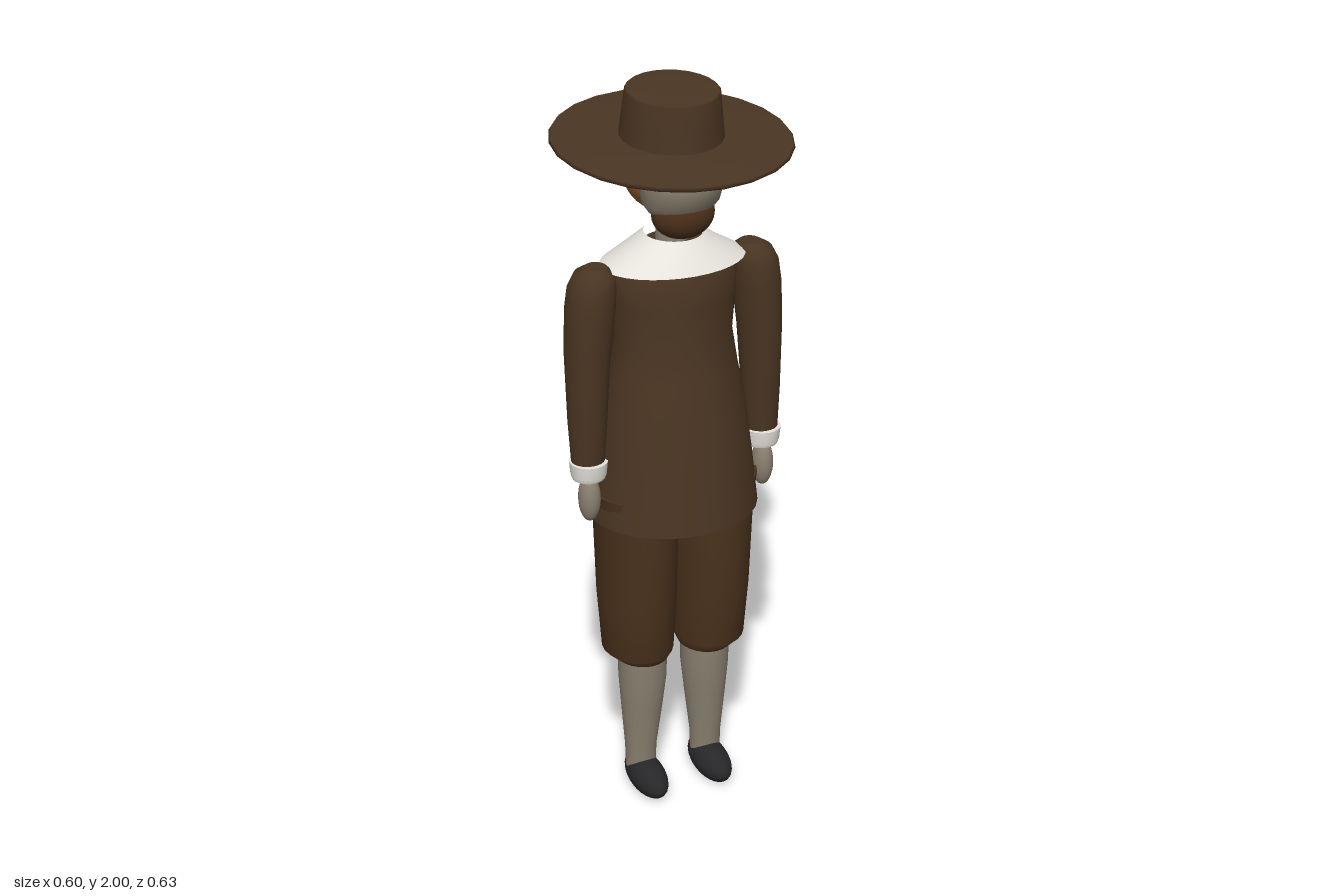
import * as THREE from 'three';

const mat = (name, hex, side = THREE.FrontSide) => {
  const m = new THREE.MeshStandardMaterial({ color: hex, side });
  m.name = name;
  return m;
};

// Smooth body through elliptical rings [y, centreX, centreZ, radiusX, radiusZ], listed upwards
function loft(rings, capped = true, n = 24) {
  const pos = [], idx = [];
  const addRing = ([y, cx, cz, rx, rz]) => {
    const start = pos.length / 3;
    for (let j = 0; j < n; j++) {
      const a = (j / n) * Math.PI * 2;
      pos.push(cx + rx * Math.sin(a), y, cz + rz * Math.cos(a));
    }
    return start;
  };
  const starts = rings.map(addRing);
  for (let i = 0; i < rings.length - 1; i++) {
    for (let j = 0; j < n; j++) {
      const k = (j + 1) % n, a = starts[i], b = starts[i + 1];
      idx.push(a + j, a + k, b + k, a + j, b + k, b + j);
    }
  }
  if (capped) {
    [rings[0], rings[rings.length - 1]].forEach((r, top) => {
      const s = addRing(r), c = pos.length / 3;
      pos.push(r[1], r[0], r[2]);
      for (let j = 0; j < n; j++) {
        const k = (j + 1) % n;
        if (top) idx.push(c, s + j, s + k);
        else idx.push(c, s + k, s + j);
      }
    });
  }
  const g = new THREE.BufferGeometry();
  g.setAttribute('position', new THREE.Float32BufferAttribute(pos, 3));
  g.setIndex(idx);
  g.computeVertexNormals();
  return g;
}

const ellipsoid = (x, y, z, rx, ry, rz) =>
  new THREE.SphereGeometry(1, 24, 16).scale(rx, ry, rz).translate(x, y, z);

export function createModel() {
  const model = new THREE.Group();
  const cloth = mat('coat brown', 0x4a3522);
  const breechesMat = mat('breeches brown', 0x4a321c);
  const skin = mat('greyish skin', 0x8a8070);
  const linen = mat('white linen', 0xe6e3dc);
  const hairMat = mat('ginger hair', 0x8f5a2a);
  const beardMat = mat('dark beard', 0x4c301a);
  const leather = mat('black leather', 0x27272a);

  const add = (name, geometry, material, parent = model) => {
    const mesh = new THREE.Mesh(geometry, material);
    mesh.name = name;
    parent.add(mesh);
    return mesh;
  };

  // Flared coat, closed at the hem
  add('coat', loft([
    [0.85, 0, 0.01, 0.228, 0.196],
    [1.0, 0, 0.01, 0.212, 0.175],
    [1.15, 0, 0.01, 0.192, 0.155],
    [1.25, 0, 0.01, 0.172, 0.137],
    [1.35, 0, 0.008, 0.157, 0.122],
    [1.45, 0, 0.008, 0.165, 0.124],
    [1.54, 0, 0.008, 0.17, 0.12],
    [1.575, 0, 0.008, 0.125, 0.09],
    [1.6, 0, 0.008, 0.075, 0.06],
  ], true, 32), cloth);

  // Sloping open collar
  add('collar', loft([
    [1.548, 0, 0.008, 0.192, 0.136],
    [1.585, 0, 0.009, 0.13, 0.108],
    [1.622, 0, 0.01, 0.075, 0.078],
  ], false, 32), linen);

  // Head
  add('neck', new THREE.CylinderGeometry(0.04, 0.042, 0.14, 20).translate(0, 1.65, 0.002), skin);
  add('face', loft([
    [1.695, 0, 0.05, 0.082, 0.065],
    [1.72, 0, 0.055, 0.1, 0.08],
    [1.772, 0, 0.06, 0.108, 0.1],
    [1.81, 0, 0.058, 0.108, 0.085],
    [1.86, 0, 0.05, 0.105, 0.068],
  ]), skin);
  add('hair', ellipsoid(0, 1.79, -0.022, 0.121, 0.125, 0.1), hairMat);
  add('beard', ellipsoid(0, 1.69, 0.07, 0.082, 0.065, 0.061), beardMat);

  // Wide hat, tipped slightly forward
  const hat = new THREE.Group();
  hat.name = 'hat';
  hat.position.set(0, 1.86, 0);
  hat.rotation.x = 0.06;
  model.add(hat);
  const revolve = (points) =>
    new THREE.LatheGeometry(points.map(([r, y]) => new THREE.Vector2(r, y)), 24).scale(1, 1, 1.042);
  add('hatBrim', revolve([
    [0, -0.012], [0.14, -0.012], [0.29, -0.008], [0.302, 0], [0.297, 0.007], [0.12, 0.014],
  ]), cloth, hat);
  add('hatCrown', revolve([
    [0.132, 0], [0.125, 0.06], [0.118, 0.128], [0.113, 0.133], [0.06, 0.136], [0, 0.137],
  ]), cloth, hat);

  // Limbs, mirrored
  for (const [side, s] of [['left', 1], ['right', -1]]) {
    const limb = (name, rings, material) =>
      add(side + name, loft(rings.map(([y, x, ...rest]) => [y, s * x, ...rest])), material);

    limb('Sleeve', [
      [1.02, 0.246, 0.027, 0.043, 0.04],
      [1.15, 0.244, 0.022, 0.051, 0.052],
      [1.33, 0.24, 0.017, 0.058, 0.064],
      [1.45, 0.23, 0.016, 0.064, 0.069],
      [1.51, 0.224, 0.016, 0.061, 0.067],
      [1.545, 0.217, 0.016, 0.05, 0.055],
      [1.562, 0.212, 0.016, 0.027, 0.03],
    ], cloth);
    limb('Cuff', [
      [0.988, 0.246, 0.03, 0.043, 0.042],
      [1.0, 0.246, 0.03, 0.047, 0.047],
      [1.036, 0.246, 0.03, 0.05, 0.051],
    ], linen);
    add(side + 'Hand', ellipsoid(s * 0.247, 0.93, 0.035, 0.029, 0.066, 0.032), skin);

    limb('Breeches', [
      [0.41, 0.094, 0.008, 0.073, 0.083],
      [0.44, 0.104, 0.008, 0.095, 0.108],
      [0.6, 0.106, 0.008, 0.104, 0.123],
      [0.85, 0.108, 0.009, 0.108, 0.139],
      [0.93, 0.115, 0.009, 0.114, 0.13],
    ], breechesMat);
    limb('Stocking', [
      [0.05, 0.097, 0.01, 0.042, 0.038],
      [0.12, 0.097, 0.01, 0.044, 0.041],
      [0.25, 0.094, 0.012, 0.057, 0.056],
      [0.35, 0.092, 0.013, 0.066, 0.067],
      [0.43, 0.092, 0.013, 0.066, 0.069],
    ], skin);

    // Rounded shoe, flattened where it meets the floor
    const shoe = ellipsoid(s * 0.096, 0.038, 0.046, 0.049, 0.046, 0.102);
    const p = shoe.attributes.position;
    for (let i = 0; i < p.count; i++) p.setY(i, Math.max(0, p.getY(i) - p.getZ(i) * 0.04));
    shoe.computeVertexNormals();
    add(side + 'Shoe', shoe, leather);
  }
  return model;
}
